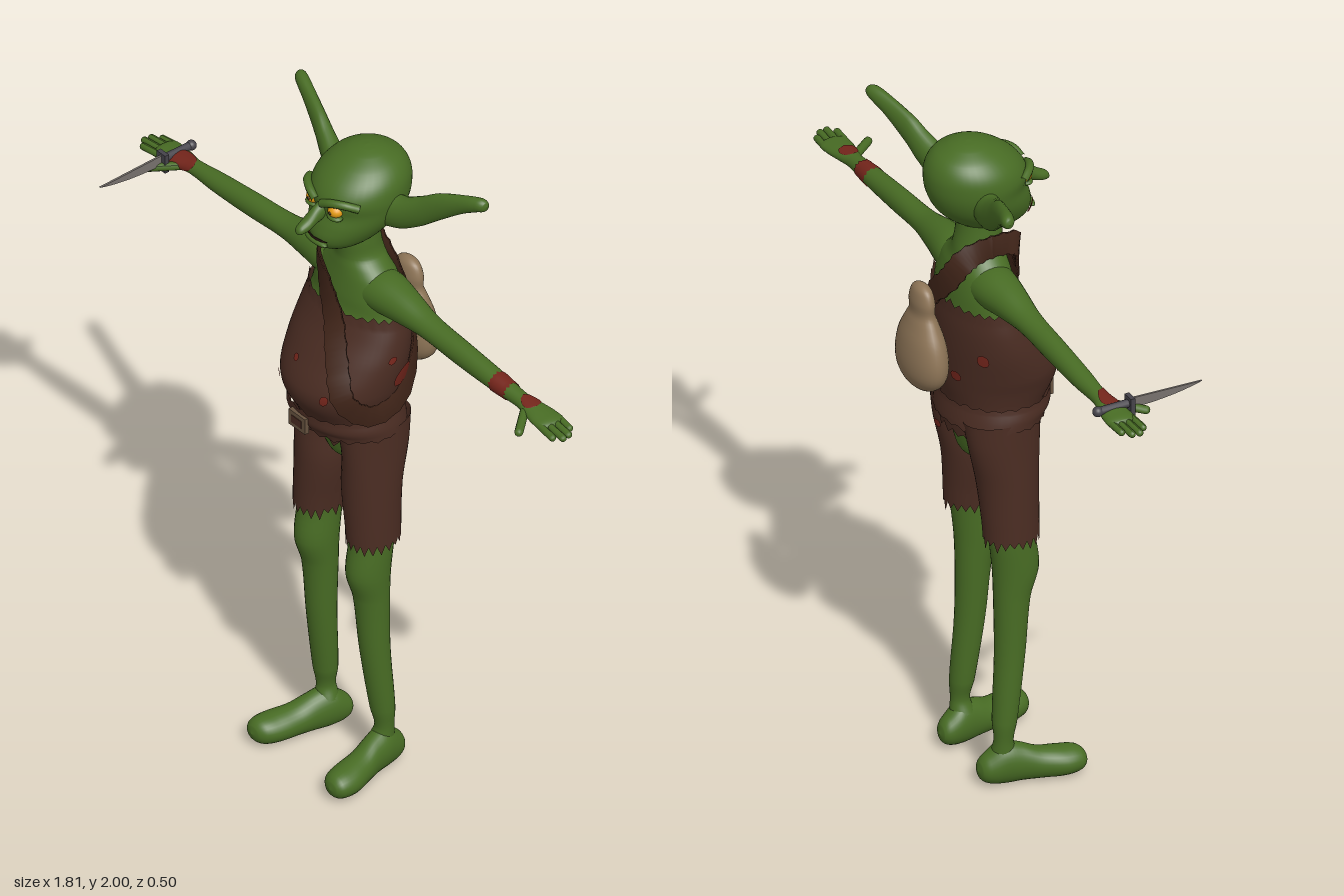
import * as THREE from 'three';

const mat = (name, color, side = THREE.FrontSide) => {
  const m = new THREE.MeshStandardMaterial({ color, side });
  m.name = name;
  return m;
};

// Ring format: [t, cu, cv, ru, rv]; t runs along the axis, u and v span the cross-section
const AXES = {
  x: (t, u, v) => [t, u, v],
  y: (t, u, v) => [v, t, u],
  z: (t, u, v) => [u, v, t],
};
const Y = (y, cx, rx, front, back) => [y, (front + back) / 2, cx, (front - back) / 2, rx];

// Smooth interpolation of rings at t
function ringAt(R, t) {
  let i = 0;
  while (i < R.length - 2 && t > R[i + 1][0]) i++;
  const a = R[i], b = R[i + 1], h = b[0] - a[0], s = (t - a[0]) / h;
  const slope = (k, c) => {
    const p = R[Math.max(0, k - 1)], q = R[Math.min(R.length - 1, k + 1)];
    return (q[c] - p[c]) / (q[0] - p[0]);
  };
  return a.map((_, c) => {
    if (c === 0) return t;
    const v = (2 * s ** 3 - 3 * s * s + 1) * a[c] + (s ** 3 - 2 * s * s + s) * h * slope(i, c)
      + (3 * s * s - 2 * s ** 3) * b[c] + (s ** 3 - s * s) * h * slope(i + 1, c);
    return c > 2 ? Math.max(0, v) : v;
  });
}

function onRing(R, axis, t, angle, off = 0, shift = 0) {
  const [, cu, cv, ru, rv] = ringAt(R, t);
  return AXES[axis](t + shift, cu + (ru + off) * Math.cos(angle), cv + (rv + off) * Math.sin(angle));
}

// Grid surface; wrap joins the last column to the first
function grid(rows, cols, wrap, point) {
  const pos = [], idx = [], n = wrap ? cols : cols + 1;
  for (let i = 0; i <= rows; i++) for (let j = 0; j < n; j++) pos.push(...point(i, j));
  for (let i = 0; i < rows; i++) for (let j = 0; j < cols; j++) {
    const a = i * n + j, b = i * n + (j + 1) % n, c = a + n, d = b + n;
    idx.push(a, b, c, b, d, c);
  }
  const g = new THREE.BufferGeometry();
  g.setAttribute('position', new THREE.Float32BufferAttribute(pos, 3));
  g.setIndex(idx);
  g.computeVertexNormals();
  return g;
}

let seed = 7;
const rnd = () => (seed = (seed * 16807) % 2147483647) / 2147483647;

// Lofted tube, with optional ragged first and last edges
function loft(R, axis, { n = 28, off = 0, tear0 = 0, tear1 = 0 } = {}) {
  const ts = [];
  for (let i = 0; i < R.length - 1; i++)
    for (let k = 0; k < 5; k++) ts.push(R[i][0] + (R[i + 1][0] - R[i][0]) * k / 5);
  ts.push(R[R.length - 1][0]);
  const rows = ts.length - 1;
  return grid(rows, n, true, (i, j) => {
    const ragged = (j % 2 ? 0.15 : 0.4 + 0.6 * rnd());
    const shift = i === 0 ? -tear0 * ragged : i === rows ? tear1 * ragged : 0;
    return onRing(R, axis, ts[i], j / n * Math.PI * 2, off, shift);
  });
}

// Thin oval patch lying on a lofted surface (angles in degrees)
const patch = (R, axis, t, ht, angle, half, off = 0.004) => grid(8, 10, false, (i, j) => {
  const s = i / 4 - 1, w = half * Math.sqrt(1 - s * s);
  return onRing(R, axis, t + s * ht, THREE.MathUtils.degToRad(angle + w * (j / 5 - 1)), off);
});

function mirror(g) {
  const m = g.clone().scale(-1, 1, 1), a = m.index.array;
  for (let i = 0; i < a.length; i += 3) [a[i], a[i + 1]] = [a[i + 1], a[i]];
  m.computeVertexNormals();
  return m;
}

export function createModel() {
  const model = new THREE.Group();
  const skin = mat('green skin', 0x486c24), cloth = mat('brown leather', 0x4a2c22, THREE.DoubleSide);
  const strapMat = mat('dark strap leather', 0x412519, THREE.DoubleSide), sackMat = mat('tan sackcloth', 0x8e7557);
  const blood = mat('dried blood', 0x74251b, THREE.DoubleSide), amber = mat('amber eye', 0xeba015);
  const dark = mat('dark pupil', 0x2a1c12), steel = mat('steel', 0x77716d, THREE.DoubleSide);
  const iron = mat('dark iron', 0x45434a), bronze = mat('dull bronze', 0x66523f);
  const add = (name, geo, m) => {
    const mesh = new THREE.Mesh(geo, m);
    mesh.name = name;
    model.add(mesh);
    return mesh;
  };
  const pair = (name, geo, m) => { add(name + 'Left', geo, m); add(name + 'Right', mirror(geo), m); };

  // Torso, neck and pelvis
  const body = [Y(1.14, 0, .15, .12, -.11), Y(1.19, 0, .15, .145, -.115), Y(1.25, 0, .162, .178, -.125),
    Y(1.3, 0, .175, .178, -.13), Y(1.38, 0, .184, .135, -.135), Y(1.45, 0, .18, .092, -.135),
    Y(1.51, 0, .168, .062, -.13), Y(1.56, 0, .158, .054, -.125), Y(1.61, 0, .132, .045, -.115),
    Y(1.64, 0, .1, .04, -.105), Y(1.67, 0, .07, .036, -.1), Y(1.72, 0, .062, .04, -.092), Y(1.77, 0, .06, .04, -.09)];
  add('torso', loft(body, 'y', { n: 40 }), skin);
  add('pelvis', loft([Y(.99, 0, 0, -.01, -.03), Y(1.0, 0, .045, .035, -.065), Y(1.04, 0, .08, .065, -.09),
    Y(1.16, 0, .14, .09, -.11)], 'y'), skin);

  // Head
  const head = [Y(1.718, 0, 0, .03, .02), Y(1.725, 0, .042, .085, -.05), Y(1.745, 0, .072, .115, -.09),
    Y(1.775, 0, .096, .125, -.13), Y(1.81, 0, .115, .118, -.16), Y(1.85, 0, .126, .104, -.178),
    Y(1.89, 0, .13, .108, -.185), Y(1.93, 0, .122, .085, -.18), Y(1.965, 0, .096, .043, -.158),
    Y(1.988, 0, .058, -.003, -.118), Y(1.997, 0, .028, -.035, -.088), Y(2, 0, 0, -.06, -.062)];
  add('head', loft(head, 'y', { n: 40 }), skin);
  add('nose', loft([[.07, 0, 1.865, .02, .03], [.12, 0, 1.848, .018, .027], [.155, 0, 1.828, .019, .019],
    [.178, 0, 1.82, .015, .014], [.187, 0, 1.817, .009, .008], [.19, 0, 1.816, 0, 0]], 'z', { n: 20 }), skin);
  add('mouth', patch(head, 'y', 1.772, .005, 0, 26), dark);
  add('lowerLip', new THREE.SphereGeometry(1, 20, 12).scale(.045, .01, .014).translate(0, 1.76, .12), skin);
  add('mouthBlood', patch(head, 'y', 1.768, .026, -30, 13, .005), blood);
  pair('ear', loft([[.07, 1.84, -.05, .055, .045], [.14, 1.845, -.068, .052, .038], [.2, 1.873, -.087, .05, .03],
    [.25, 1.907, -.102, .046, .024], [.33, 1.949, -.127, .03, .021], [.38, 1.968, -.143, .022, .02],
    [.4, 1.97, -.148, .014, .013], [.405, 1.97, -.149, 0, 0]], 'x', { n: 20 }), skin);
  const ball = (x, y, z, r, sx = 1, sy = 1, sz = 1) => new THREE.SphereGeometry(r, 20, 14).scale(sx, sy, sz).translate(x, y, z);
  pair('eye', ball(.046, 1.87, .088, .023, 1, .85, 1), amber);
  pair('pupil', ball(.046, 1.87, .109, .005), dark);
  pair('lowerLid', ball(.046, 1.851, .092, .024, 1.1, .4, .8), skin);
  const browCurve = new THREE.CatmullRomCurve3([[.012, 1.886, .112], [.045, 1.9, .105], [.08, 1.902, .085], [.105, 1.89, .055]]
    .map(p => new THREE.Vector3(...p)));
  pair('brow', new THREE.TubeGeometry(browCurve, 16, .012, 10), skin);

  // Arms and hands
  const arm = [[.05, 1.572, -.035, .06, .07], [.12, 1.578, -.035, .06, .065], [.2, 1.576, -.033, .05, .052],
    [.3, 1.568, -.031, .035, .038], [.45, 1.557, -.03, .035, .033], [.6, 1.548, -.03, .028, .03],
    [.7, 1.543, -.03, .021, .024], [.75, 1.54, -.03, .019, .034], [.8, 1.537, -.03, .017, .042],
    [.835, 1.535, -.03, .013, .036], [.845, 1.535, -.03, 0, 0]];
  pair('arm', loft(arm, 'x'), skin);
  const finger = (a, b, r) => {
    const A = new THREE.Vector3(...a), d = new THREE.Vector3(...b).sub(A);
    return new THREE.CapsuleGeometry(r, d.length(), 4, 10)
      .applyQuaternion(new THREE.Quaternion().setFromUnitVectors(new THREE.Vector3(0, 1, 0), d.clone().normalize()))
      .translate(...A.addScaledVector(d, .5).toArray());
  };
  [-.062, -.041, -.019, .002].forEach((z, i) =>
    pair('finger' + (i + 1), finger([.81, 1.536, z], [[.87, .892, .895, .875][i], 1.532, z + .006], .0105), skin));
  pair('thumb', finger([.735, 1.538, -.01], [.795, 1.53, .06], .0125), skin);

  // Legs and feet
  pair('leg', loft([Y(.1, .118, .034, .02, -.05), Y(.14, .125, .027, .01, -.045), Y(.2, .122, .036, .022, -.048),
    Y(.4, .114, .043, .05, -.036), Y(.58, .11, .05, .068, -.036), Y(.67, .11, .056, .094, -.04),
    Y(.78, .11, .058, .082, -.052), Y(.95, .1, .066, .085, -.07), Y(1.12, .09, .066, .085, -.1)], 'y'), skin);
  pair('foot', loft([[-.09, .11, .048, 0, 0], [-.083, .111, .049, .024, .026], [-.06, .114, .053, .038, .046],
    [-.02, .12, .064, .044, .064], [.03, .13, .059, .043, .058], [.08, .143, .049, .046, .047], [.14, .157, .045, .052, .043],
    [.185, .164, .045, .044, .037], [.205, .167, .045, .026, .022], [.212, .168, .045, 0, 0]], 'z'), skin);

  // Ragged vest, belt and breeches
  add('vest', loft(body.slice(0, 7), 'y', { n: 56, off: .009, tear1: .028 }), cloth);
  const belt = [Y(1.145, 0, .176, .15, -.142), Y(1.17, 0, .174, .168, -.138), Y(1.2, 0, .166, .17, -.132)];
  add('belt', loft(belt, 'y', { n: 48, tear0: .015, tear1: .014 }), cloth);
  add('buckle', new THREE.BoxGeometry(.07, .05, .014).translate(-.012, 1.168, .172), bronze);
  add('buckleCentre', new THREE.BoxGeometry(.042, .024, .008).translate(-.012, 1.168, .177), cloth);
  add('breechesTop', loft([Y(1.11, 0, .166, .102, -.122), Y(1.18, 0, .16, .115, -.125)], 'y', { n: 44, tear0: .03 }), cloth);
  const breeches = [Y(.795, .114, .068, .092, -.068), Y(.95, .101, .077, .096, -.082), Y(1.07, .102, .072, .1, -.108),
    Y(1.16, .092, .08, .108, -.122)];
  pair('breechesLeg', loft(breeches, 'y', { n: 40, tear0: .042 }), cloth);

  // Shoulder strap: a closed ribbon around the torso, given as [height, angle, clearance]
  const wrap = [[1.69, -90, .016], [1.675, -40, .04], [1.6, -8, .027], [1.5, 10, .023], [1.4, 28, .02], [1.3, 48, .02],
    [1.24, 75, .02], [1.26, 110, .02], [1.36, 140, .02], [1.5, 165, .022], [1.6, 195, .03], [1.67, 225, .04]];
  const path = new THREE.CatmullRomCurve3(wrap.map(([y, a, o]) =>
    new THREE.Vector3(...onRing(body, 'y', y, THREE.MathUtils.degToRad(a), o))), true);
  const section = [[-1, -1], [1, -1], [1, 1], [-1, 1]];
  add('shoulderStrap', grid(90, 4, true, (i, j) => {
    const p = path.getPoint((i % 90) / 90), tan = path.getTangent((i % 90) / 90);
    const out = new THREE.Vector3(p.x, 0, p.z + .02).normalize();
    const side = new THREE.Vector3().crossVectors(tan, out).normalize();
    const w = .031 + (i % 3 === 0 ? .004 : 0);
    return p.addScaledVector(side, section[j][0] * w).addScaledVector(out, section[j][1] * .005).toArray();
  }), strapMat);

  // Sack on the back
  const profile = new THREE.SplineCurve([[0, 1.25], [.06, 1.258], [.1, 1.295], [.11, 1.345], [.097, 1.405], [.07, 1.455],
    [.053, 1.485], [.054, 1.52], [.042, 1.553], [.02, 1.567], [0, 1.57]].map(p => new THREE.Vector2(...p)));
  const sackPoints = profile.getPoints(40).map(p => new THREE.Vector2(Math.max(0, p.x), p.y));
  add('sack', new THREE.LatheGeometry(sackPoints, 32).scale(1, 1, .54).translate(.016, 0, -.194), sackMat);

  // Knife in the right hand
  const blade = new THREE.Shape();
  blade.moveTo(.02, 1.568);
  blade.lineTo(.245, 1.56);
  blade.quadraticCurveTo(.15, 1.534, .02, 1.536);
  add('knifeBlade', new THREE.ExtrudeGeometry(blade, { depth: .006, bevelEnabled: false })
    .rotateY(-Math.PI / 2).translate(-.772, 0, 0), steel);
  add('knifeGuard', new THREE.BoxGeometry(.036, .058, .014).translate(-.775, 1.545, .022), iron);
  add('knifeGrip', new THREE.CylinderGeometry(.012, .012, .1, 12).rotateX(Math.PI / 2).translate(-.775, 1.553, -.03), iron);
  add('knifePommel', ball(-.775, 1.553, -.078, .015), iron);

  // Blood stains
  const armStain = loft([.6, .625, .65].map(t => ringAt(arm, t)), 'x', { off: .002, tear0: .012, tear1: .012 });
  add('forearmStain', armStain, blood);
  add('leftHandStain', patch(arm, 'x', .735, .03, 0, 50, .003), blood);
  add('rightHandStain', mirror(patch(arm, 'x', .735, .05, 40, 75, .003)), blood);
  [[1.34, .034, 108, 14], [1.41, .012, 82, 5], [1.29, .016, 30, 4], [1.36, .01, -12, 3], [1.27, .014, -40, 4],
    [1.38, .02, -130, 6], [1.3, .016, 200, 6]].forEach(([y, h, a, w], i) =>
    add('vestStain' + (i + 1), patch(body, 'y', y, h, a, w, .0135), blood));
  add('breechesStain', patch(breeches, 'y', 1.06, .014, 190, 10), blood);

  return model;
}
